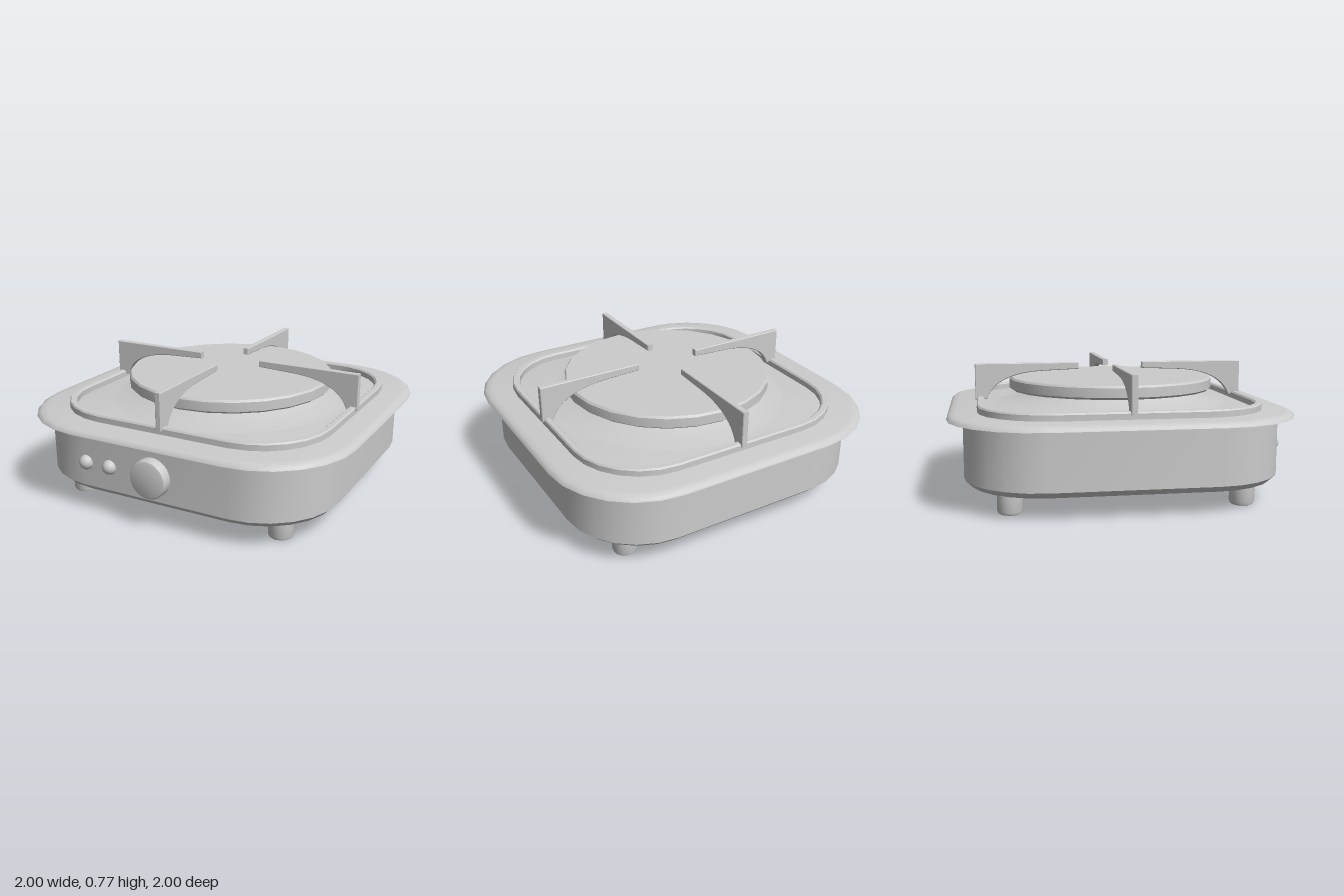
import * as THREE from 'three';
import { toCreasedNormals } from 'three/addons/utils/BufferGeometryUtils.js';

const CORNER_STEPS = 6;

// Rounded-square outline in the xz plane
function outline(half, radius) {
  const pts = [], c = half - radius;
  const signs = [[1, 1], [-1, 1], [-1, -1], [1, -1]];
  signs.forEach(([sx, sz], q) => {
    for (let k = 0; k <= CORNER_STEPS; k++) {
      const a = (q + k / CORNER_STEPS) * Math.PI / 2;
      pts.push([sx * c + radius * Math.cos(a), sz * c + radius * Math.sin(a)]);
    }
  });
  return pts;
}

// Loft through rounded-square sections [half width, y, corner radius]; half 0 closes an end
function loft(sections) {
  const pos = [], index = [], n = 4 * (CORNER_STEPS + 1);
  sections.forEach(([half, y, r]) => outline(half, r).forEach(([x, z]) => pos.push(x, y, z)));
  for (let i = 0; i < sections.length - 1; i++) {
    for (let j = 0; j < n; j++) {
      const a = i * n + j, c = i * n + (j + 1) % n, b = a + n, d = c + n;
      if (sections[i][0] > 0) index.push(a, b, c);
      if (sections[i + 1][0] > 0) index.push(b, d, c);
    }
  }
  const geo = new THREE.BufferGeometry();
  geo.setAttribute('position', new THREE.Float32BufferAttribute(pos, 3));
  geo.setIndex(index);
  return toCreasedNormals(geo, 0.6);
}

function lathe(profile, segments) {
  const geo = new THREE.LatheGeometry(profile.map(([r, y]) => new THREE.Vector2(r, y)), segments);
  geo.deleteAttribute('normal');
  geo.deleteAttribute('uv');
  return toCreasedNormals(geo, 0.6);
}

export function createModel() {
  const model = new THREE.Group();
  model.name = 'gasStove';
  const grey = new THREE.MeshStandardMaterial({ color: 0xcccccc });
  const add = (name, geo, x = 0, y = 0, z = 0) => {
    const mesh = new THREE.Mesh(geo, grey);
    mesh.name = name;
    mesh.position.set(x, y, z);
    model.add(mesh);
    return mesh;
  };

  // Housing with a bevelled lower edge
  add('body', loft([[0, 0.13, 0], [0.875, 0.13, 0.42], [0.91, 0.165, 0.45], [0.91, 0.51, 0.45], [0, 0.51, 0]]));

  // Overhanging top plate with a softened edge
  add('topPlate', loft([[0, 0.5, 0], [1, 0.5, 0.53], [0.995, 0.512, 0.53], [0.98, 0.524, 0.52],
    [0.95, 0.53, 0.5], [0, 0.53, 0]]));

  // Raised rim around the burner well
  add('rim', loft([[0.83, 0.525, 0.42], [0.83, 0.563, 0.42], [0.823, 0.572, 0.413], [0.797, 0.572, 0.387],
    [0.787, 0.563, 0.377], [0.787, 0.525, 0.377]]));

  // Flared burner base and the cap above it
  add('burnerBase', lathe([[0.72, 0.53], [0.62, 0.545], [0.53, 0.572], [0.47, 0.6], [0.44, 0.625]], 48));
  add('burnerCap', lathe([[0, 0.608], [0.615, 0.608], [0.63, 0.62], [0.63, 0.675], [0.62, 0.687], [0, 0.687]], 24));

  // Pan support arms with a curved underside
  const arm = new THREE.Shape();
  arm.moveTo(0.2, 0.73);
  arm.lineTo(0.44, 0.72);
  arm.bezierCurveTo(0.6, 0.71, 0.73, 0.665, 0.77, 0.55);
  arm.lineTo(0.84, 0.55);
  arm.lineTo(0.84, 0.77);
  arm.lineTo(0.2, 0.77);
  arm.closePath();
  const bevel = 0.004, thickness = 0.036;
  const armGeo = new THREE.ExtrudeGeometry(arm, {
    depth: thickness - 2 * bevel, bevelEnabled: true, bevelThickness: bevel,
    bevelSize: bevel, bevelOffset: -bevel, bevelSegments: 1, curveSegments: 12,
  });
  armGeo.translate(0, 0, bevel - thickness / 2);
  for (let i = 0; i < 4; i++) add('panSupport', armGeo).rotation.y = i * Math.PI / 2;

  // Feet
  const footGeo = lathe([[0, 0], [0.055, 0], [0.067, 0.006], [0.072, 0.02], [0.072, 0.14]], 20);
  for (const x of [-0.66, 0.66]) for (const z of [-0.66, 0.66]) add('foot', footGeo, x, 0, z);

  // Control knob and two round buttons on the front
  const knobGeo = lathe([[0.113, -0.01], [0.113, 0.047], [0.108, 0.056], [0.098, 0.06], [0, 0.06]], 32);
  add('knob', knobGeo, 0, 0.31, 0.91).rotation.x = Math.PI / 2;
  const buttonGeo = new THREE.SphereGeometry(0.043, 20, 14);
  for (const x of [-0.445, -0.285]) add('button', buttonGeo, x, 0.31, 0.91);

  return model;
}
